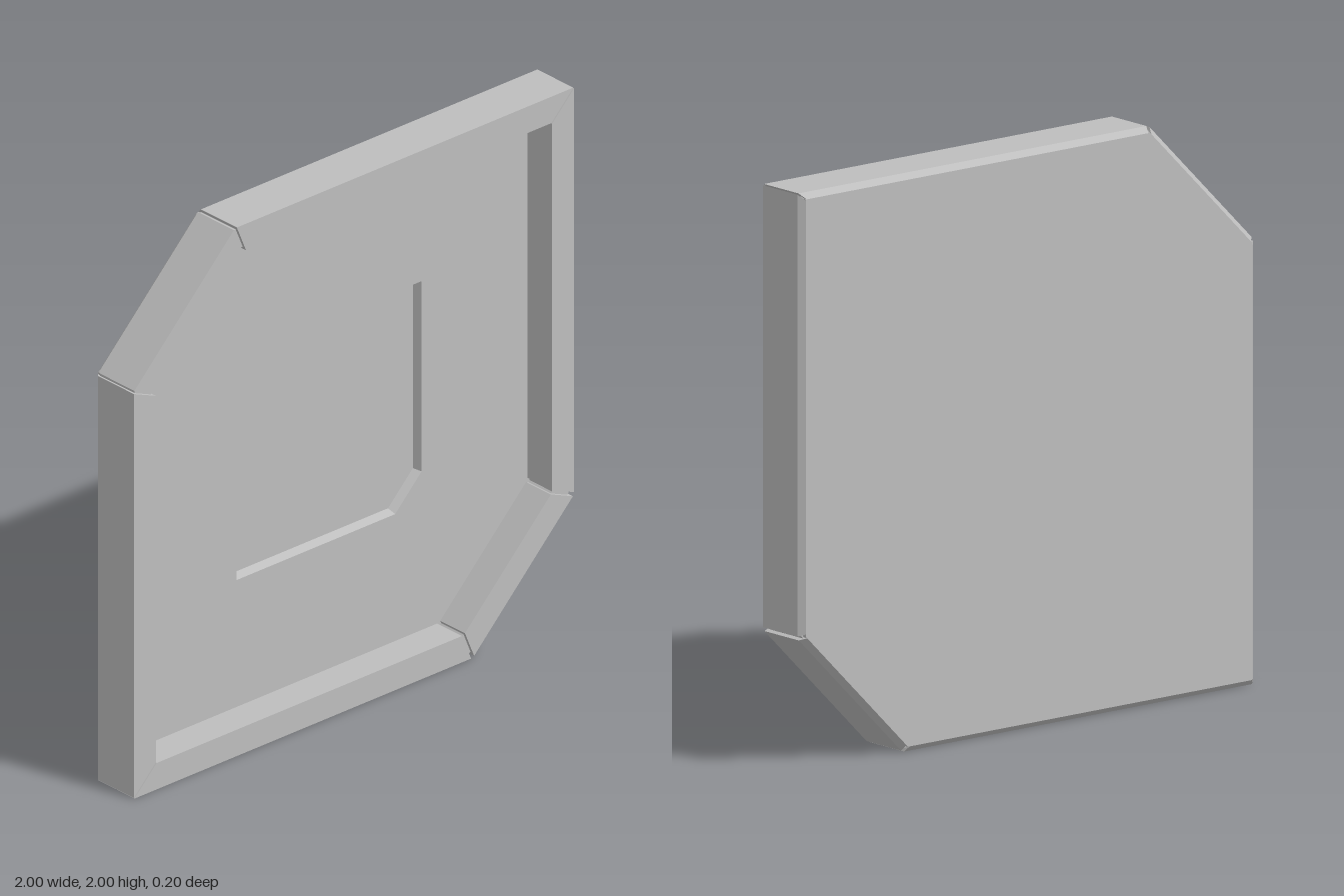
import * as THREE from 'three';

const CY = 1; // height of the plate's centre

// Square with two opposite corners cut off, counter-clockwise, pulled in by d
function outline(half, cut, d = 0) {
  const h = half - d, c = cut - d * (2 - Math.SQRT2);
  return [[-h, -h], [h - c, -h], [h, c - h], [h, h], [c - h, h], [-h, h - c]]
    .map(([x, y]) => new THREE.Vector2(x, y + CY));
}
const body = (d) => outline(1, 0.46, d);
const recess = (d) => outline(0.42, 0.12, d);

function ring(outer, inner) {
  const shape = new THREE.Shape(outer);
  if (inner) shape.holes.push(new THREE.Path(inner));
  return shape;
}

function slab(shape, z0, z1) {
  const g = new THREE.ExtrudeGeometry(shape, { depth: z1 - z0, bevelEnabled: false });
  return g.translate(0, 0, z0);
}

function fromTriangles(points) {
  const g = new THREE.BufferGeometry().setFromPoints(points);
  g.computeVertexNormals();
  return g;
}

// One mitred rim bar: [inset, z] section swept along edge i, ends pulled back for the seams
function rimBar(i) {
  const section = [[0, 0.1], [0, -0.08], [0.02, -0.1], [0.1, -0.03], [0.1, 0.1]];
  const j = (i + 1) % 6;
  const gap = (k) => (k === 0 || k === 3 ? 0.004 : 0.008);
  const a = [], b = [], tris = [];
  for (const [d, z] of section) {
    const p = body(d), dir = p[j].clone().sub(p[i]).normalize();
    const s = p[i].clone().addScaledVector(dir, gap(i));
    const e = p[j].clone().addScaledVector(dir, -gap(j));
    a.push(new THREE.Vector3(s.x, s.y, z));
    b.push(new THREE.Vector3(e.x, e.y, z));
  }
  const n = section.length;
  for (let k = 0; k < n; k++) {
    const m = (k + 1) % n;
    tris.push(a[k], a[m], b[m], a[k], b[m], b[k]);
  }
  for (let k = 1; k < n - 1; k++) tris.push(a[0], a[k + 1], a[k], b[0], b[k], b[k + 1]);
  return fromTriangles(tris);
}

// Sloped walls leading down into the central recess
function recessWalls(zTop, zFloor) {
  const top = recess(0).map((p) => new THREE.Vector3(p.x, p.y, zTop));
  const low = recess(0.012).map((p) => new THREE.Vector3(p.x, p.y, zFloor));
  const tris = [];
  for (let i = 0; i < 6; i++) {
    const j = (i + 1) % 6;
    tris.push(top[i], top[j], low[j], top[i], low[j], low[i]);
  }
  return fromTriangles(tris);
}

export function createModel() {
  const group = new THREE.Group();
  const grey = new THREE.MeshStandardMaterial({ color: 0xbebebe });
  grey.name = 'plainGrey';
  const add = (name, geometry) => {
    const mesh = new THREE.Mesh(geometry, grey);
    mesh.name = name;
    group.add(mesh);
  };

  const panelZ = -0.024, floorZ = -0.055;

  // Back plate, whose front is the floor of the recess
  add('backPlate', slab(ring(body(0.02)), -0.1, floorZ));

  // Sunken front panel with the recess opening
  const panel = new THREE.ShapeGeometry(ring(body(0.09), recess(0)));
  add('frontPanel', panel.translate(0, 0, panelZ));
  add('recessWalls', recessWalls(panelZ, floorZ));

  // Core behind the seams, then the six rim bars
  add('rimCore', slab(ring(body(0.014), body(0.09)), -0.085, 0.088));
  for (let i = 0; i < 6; i++) add('rimBar' + (i + 1), rimBar(i));

  return group;
}
